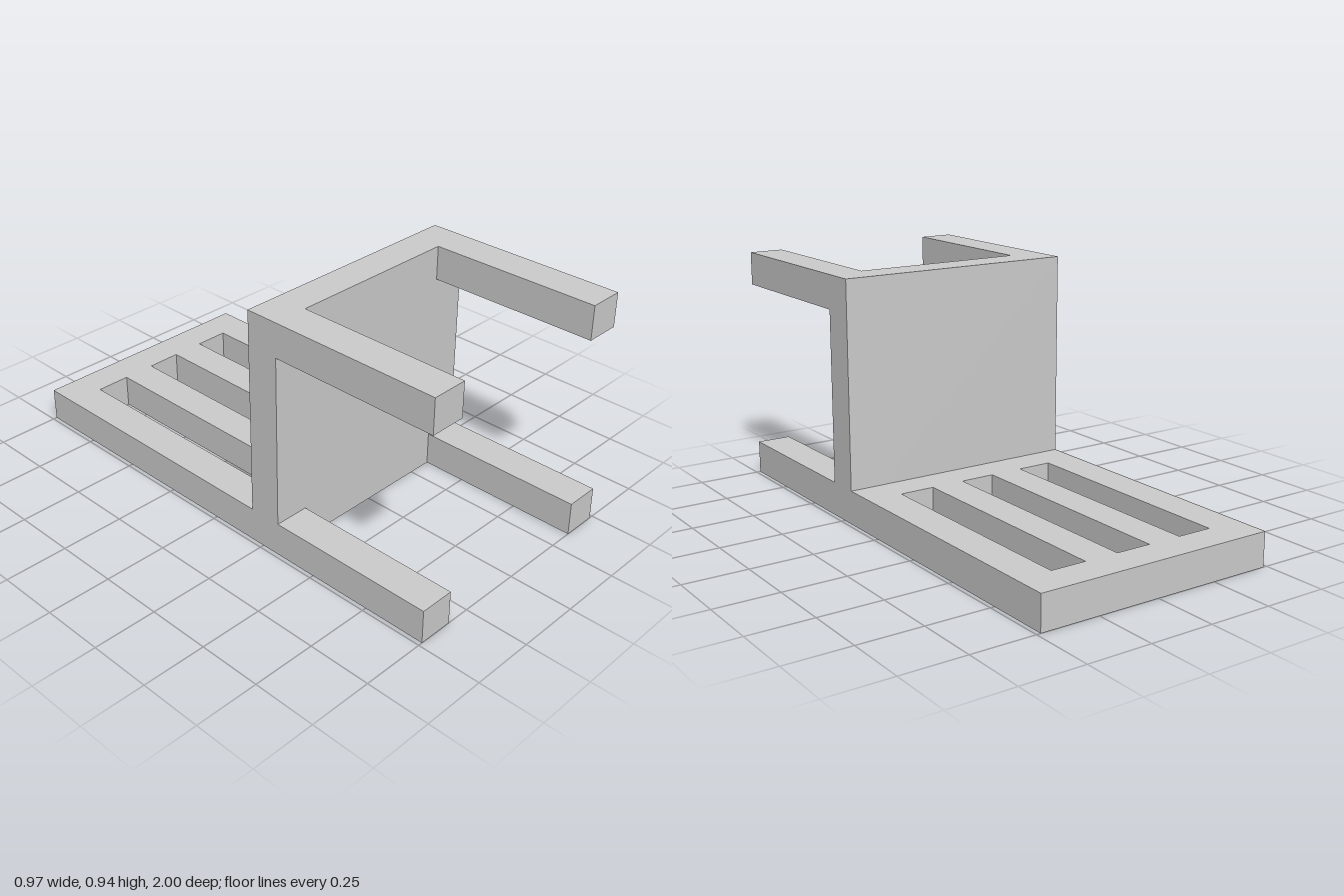
import * as THREE from 'three';

// A chair lying on its back: seat upright, legs pointing forward, backrest on the ground.
const W = 0.484;      // half width
const H = 0.942;      // seat depth, now vertical
const T = 0.133;      // board thickness
const LEG = 0.139;    // leg width
const SEAT_BACK = 0.195;
const SEAT_FRONT = 0.326;

const material = new THREE.MeshStandardMaterial({ color: 0xcccccc, flatShading: true });

function addBox(group, name, x0, x1, y0, y1, z0, z1) {
  const mesh = new THREE.Mesh(new THREE.BoxGeometry(x1 - x0, y1 - y0, z1 - z0), material);
  mesh.position.set((x0 + x1) / 2, (y0 + y1) / 2, (z0 + z1) / 2);
  mesh.name = name;
  group.add(mesh);
}

function rectangle(Type, x0, x1, y0, y1) {
  return new Type([
    new THREE.Vector2(x0, y0), new THREE.Vector2(x1, y0),
    new THREE.Vector2(x1, y1), new THREE.Vector2(x0, y1),
  ]);
}

export function createModel() {
  const chair = new THREE.Group();
  chair.name = 'chair';

  // Backrest: a flat board with three long slots
  const outline = rectangle(THREE.Shape, -W, W, -1, SEAT_BACK);
  for (const x of [-0.275, 0, 0.275]) {
    outline.holes.push(rectangle(THREE.Path, x - 0.07, x + 0.07, -0.868, 0.06));
  }
  const board = new THREE.ExtrudeGeometry(outline, { depth: T, bevelEnabled: false });
  board.rotateX(Math.PI / 2).translate(0, T, 0);
  const backrest = new THREE.Mesh(board, material);
  backrest.name = 'backrest';
  chair.add(backrest);

  // Seat: upright square panel
  addBox(chair, 'seat', -W, W, 0, H, SEAT_BACK, SEAT_FRONT);

  // Legs: one at each corner of the seat
  for (const [side, x] of [['left', W - LEG], ['right', -W]]) {
    addBox(chair, side + 'BackLeg', x, x + LEG, 0, T, SEAT_FRONT, 1);
    addBox(chair, side + 'FrontLeg', x, x + LEG, H - T, H, SEAT_FRONT, 1);
  }
  return chair;
}
